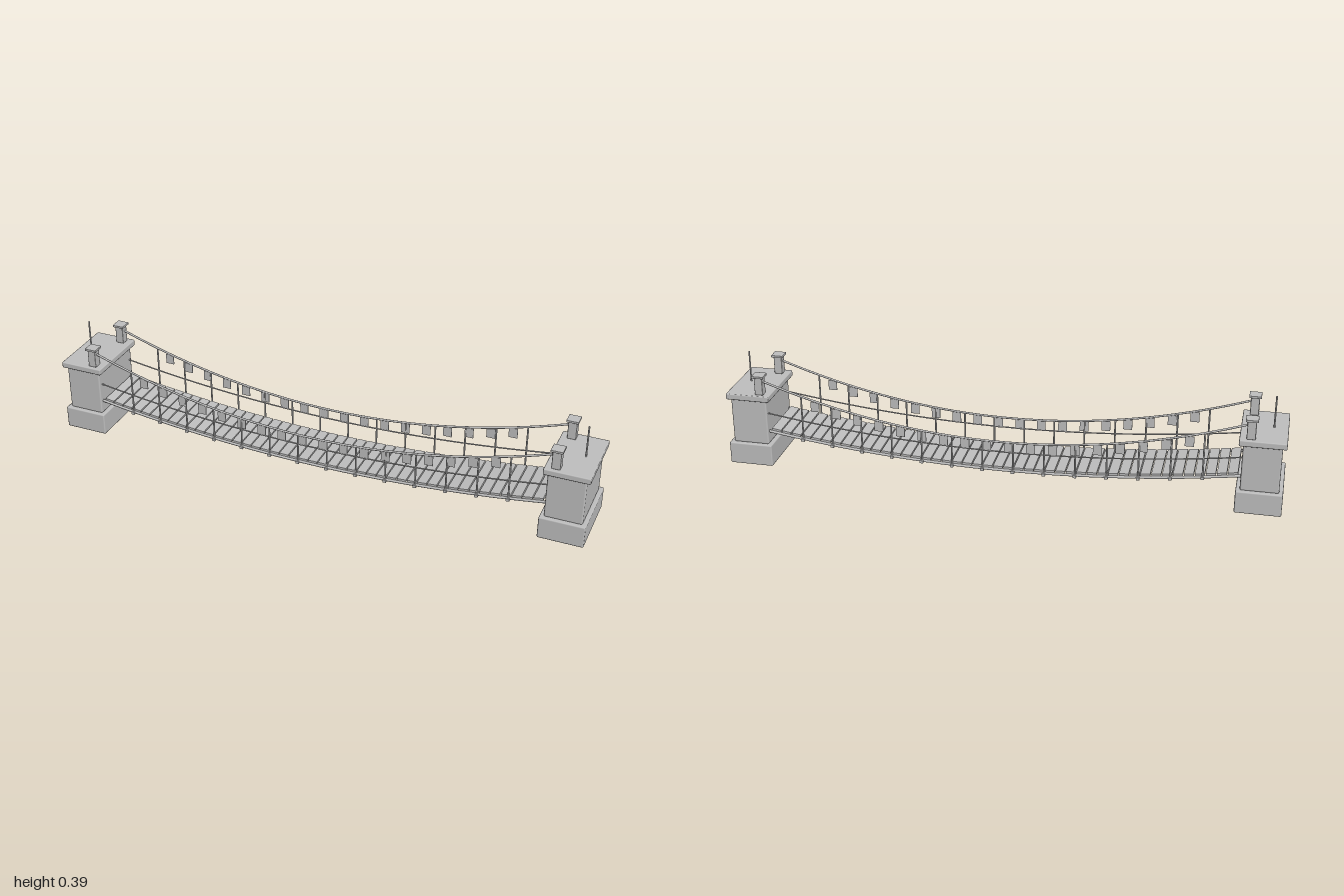
import * as THREE from 'three';
import { RoundedBoxGeometry } from 'three/addons/geometries/RoundedBoxGeometry.js';

export function createModel() {
  const root = new THREE.Group();
  root.name = 'suspensionFootbridge';
  const grey = new THREE.MeshStandardMaterial({ color: 0xc0c0c0 });
  grey.name = 'stone grey';

  const add = (name, geo, x, y, z, parent = root) => {
    const m = new THREE.Mesh(geo, grey);
    m.name = name;
    m.position.set(x, y, z);
    parent.add(m);
    return m;
  };
  // bevelled block spanning y0..y1
  const block = (name, w, y0, y1, d, x, z, bevel, parent) =>
    add(name, new RoundedBoxGeometry(w, y1 - y0, d, 1, bevel), x, (y0 + y1) / 2, z, parent);

  // sagging curves: deck, hand rope and main cable
  const sag = (low, rise, half) => (x) => low + rise * (x / half) ** 2;
  const deckY = sag(0.066, 0.065, 0.84);
  const handY = sag(0.134, 0.064, 0.84);
  const cableY = sag(0.172, 0.154, 0.87);
  const slope = (x) => Math.atan((2 * 0.065 * x) / 0.84 ** 2);

  const rope = (name, fn, half, radius, z, drop = 0) => {
    const pts = [];
    for (let i = 0; i <= 24; i++) {
      const x = -half + (2 * half * i) / 24;
      pts.push(new THREE.Vector3(x, fn(x) - drop, z));
    }
    add(name, new THREE.TubeGeometry(new THREE.CatmullRomCurve3(pts), 60, radius, 8), 0, 0, 0);
  };

  // end towers
  for (const s of [-1, 1]) {
    const tower = new THREE.Group();
    tower.name = s > 0 ? 'leftTower' : 'rightTower';
    root.add(tower);
    block('towerBase', 0.162, 0, 0.083, 0.264, s * 0.919, 0, 0.005, tower);
    block('towerBody', 0.134, 0.081, 0.255, 0.236, s * 0.919, 0, 0.006, tower);
    block('towerCap', 0.162, 0.253, 0.276, 0.26, s * 0.919, 0, 0.004, tower);
    for (const z of [-0.101, 0.101]) {
      block('cablePost', 0.031, 0.275, 0.343, 0.031, s * 0.877, z, 0.003, tower);
      block('postCap', 0.043, 0.342, 0.35, 0.044, s * 0.877, z, 0.001, tower);
    }
    add('pole', new THREE.CylinderGeometry(0.003, 0.003, 0.118, 8), s * 0.95, 0.334, 0, tower);
  }

  // cables, hand ropes and deck edge beams
  for (const z of [-0.101, 0.101]) {
    rope('mainCable', cableY, 0.87, 0.004, z);
    rope('handRope', handY, 0.853, 0.0025, z);
    rope('deckEdge', deckY, 0.853, 0.005, z, 0.004);
  }

  // deck planks
  const count = 45, pitch = 1.69 / count;
  const plankGeo = new THREE.BoxGeometry(pitch * 0.9, 0.009, 0.2);
  for (let i = 0; i < count; i++) {
    const x = (i - (count - 1) / 2) * pitch;
    add('plank', plankGeo, x, deckY(x) + 0.004, 0).rotation.z = slope(x);
  }

  // cross beams with hangers up to the cables
  const beamGeo = new THREE.BoxGeometry(0.012, 0.01, 0.222);
  for (let i = 0; i < 14; i++) {
    const x = (i - 6.5) * 0.1112;
    add('crossBeam', beamGeo, x, deckY(x) - 0.006, 0).rotation.z = slope(x);
    const y0 = deckY(x) - 0.008, y1 = cableY(x);
    for (const z of [-0.101, 0.101]) {
      add('hanger', new THREE.CylinderGeometry(0.0032, 0.0032, y1 - y0, 8), x, (y0 + y1) / 2, z);
    }
  }

  // small flags hung below both cables
  const flagGeo = new THREE.BoxGeometry(0.032, 0.038, 0.003);
  for (let i = 0; i < 18; i++) {
    const x = (i - 8.5) * 0.079;
    for (const z of [-0.101, 0.101]) add('flag', flagGeo, x, cableY(x) - 0.022, z);
  }
  return root;
}
